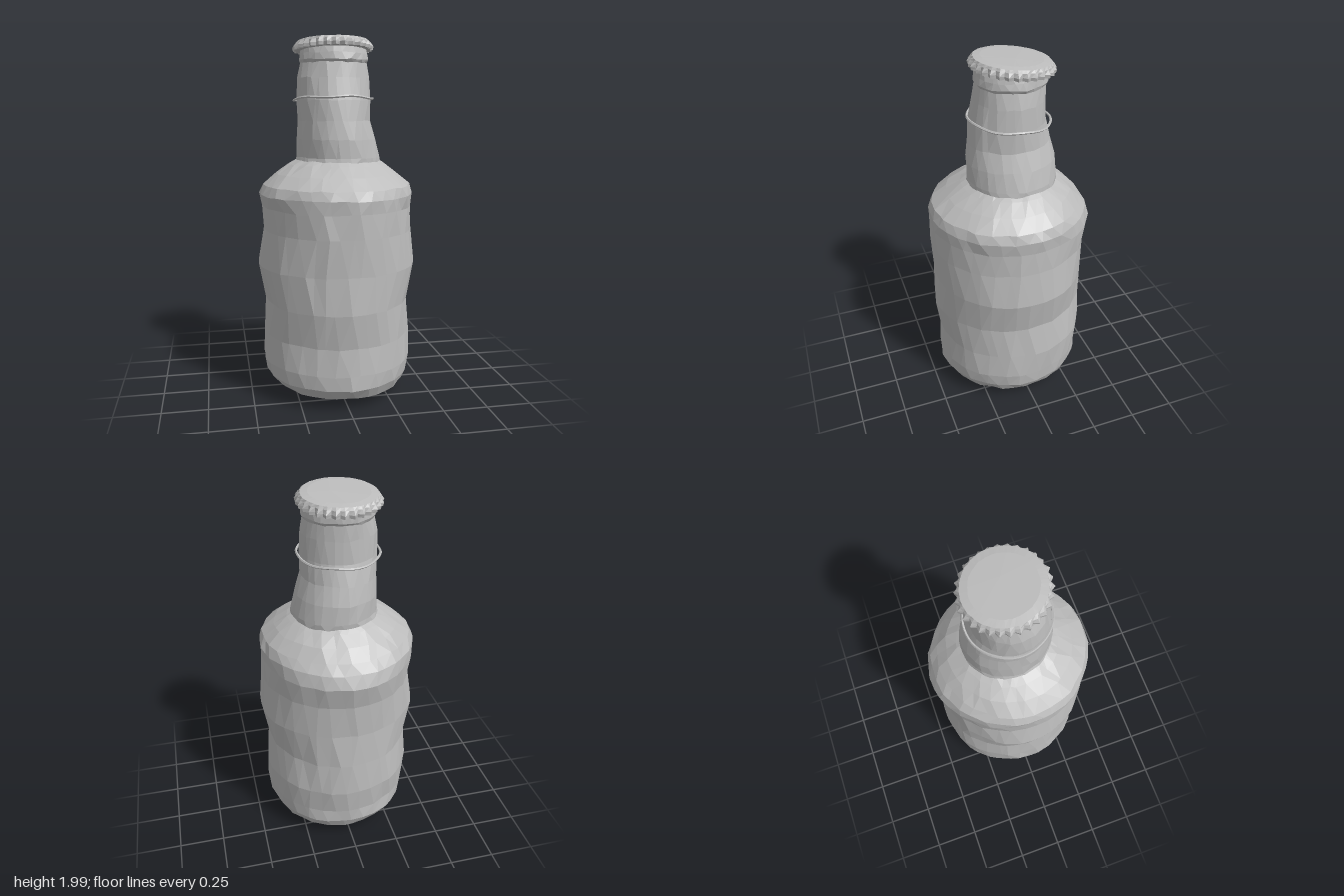
import * as THREE from 'three';

// Small seeded noise for the hand-made, uneven surface
function makeNoise(seed) {
  let s = seed;
  return () => {
    s = (s * 16807) % 2147483647;
    return (s / 2147483647) * 2 - 1;
  };
}

// Skin closed rings of points together, bottom to top, with flat facets.
// Rings collapse to a point at their centre where capBottom / capTop is set.
function skin(rings, capBottom, capTop) {
  const pos = [];
  const tri = (a, b, c) => pos.push(...a.toArray(), ...b.toArray(), ...c.toArray());
  const n = rings[0].length;
  for (let r = 0; r < rings.length - 1; r++) {
    for (let i = 0; i < n; i++) {
      const j = (i + 1) % n;
      const a = rings[r][i], b = rings[r][j], c = rings[r + 1][j], d = rings[r + 1][i];
      tri(a, d, c);
      tri(a, c, b);
    }
  }
  const last = rings[rings.length - 1];
  for (let i = 0; i < n; i++) {
    const j = (i + 1) % n;
    if (capBottom) tri(capBottom, rings[0][i], rings[0][j]);
    if (capTop) tri(capTop, last[j], last[i]);
  }
  const g = new THREE.BufferGeometry();
  g.setAttribute('position', new THREE.Float32BufferAttribute(pos, 3));
  g.computeVertexNormals();
  return g;
}

// Uneven rings from sections [y, xMin, xMax, zMin, zMax], slightly twisted as they rise
function unevenRings(sections, sides, twist, rough, seed) {
  const noise = makeNoise(seed);
  return sections.map(([y, x0, x1, z0, z1], k) => {
    const ring = [];
    for (let i = 0; i < sides; i++) {
      const a = ((i + 0.3 * noise()) / sides) * Math.PI * 2 - k * twist;
      const f = 1 + rough * noise();
      ring.push(new THREE.Vector3(
        (x0 + x1) / 2 + Math.sin(a) * f * (x1 - x0) / 2,
        y + rough * 0.25 * noise(),
        (z0 + z1) / 2 + Math.cos(a) * f * (z1 - z0) / 2
      ));
    }
    return ring;
  });
}

export function createModel() {
  const group = new THREE.Group();
  const grey = new THREE.MeshStandardMaterial({ color: 0xbcbcbc });
  grey.name = 'bottle grey';
  grey.side = THREE.DoubleSide;
  const add = (name, geometry) => {
    const mesh = new THREE.Mesh(geometry, grey);
    mesh.name = name;
    group.add(mesh);
  };

  // Body: shallow pointed base, wavy wall, rounded shoulder
  const body = [
    [0.04, -0.29, 0.33, -0.31, 0.32],
    [0.07, -0.36, 0.38, -0.38, 0.40],
    [0.13, -0.41, 0.41, -0.41, 0.44],
    [0.21, -0.42, 0.42, -0.41, 0.44],
    [0.36, -0.42, 0.42, -0.43, 0.43],
    [0.55, -0.41, 0.40, -0.42, 0.455],
    [0.75, -0.445, 0.445, -0.41, 0.44],
    [0.95, -0.415, 0.42, -0.425, 0.45],
    [1.08, -0.42, 0.415, -0.45, 0.45],
    [1.15, -0.435, 0.425, -0.425, 0.45],
    [1.20, -0.41, 0.405, -0.385, 0.43],
    [1.26, -0.34, 0.34, -0.33, 0.35],
    [1.31, -0.27, 0.27, -0.27, 0.27],
    [1.34, -0.21, 0.22, -0.23, 0.22]
  ];
  add('body', skin(unevenRings(body, 36, 0.07, 0.014, 71), new THREE.Vector3(0, 0.005, 0)));

  // Neck: tapering, a little crooked, with a lip under the cap
  const neck = [
    [1.31, -0.235, 0.25, -0.25, 0.24],
    [1.35, -0.22, 0.245, -0.25, 0.235],
    [1.45, -0.22, 0.22, -0.245, 0.235],
    [1.55, -0.215, 0.19, -0.225, 0.225],
    [1.66, -0.22, 0.19, -0.195, 0.21],
    [1.78, -0.215, 0.185, -0.19, 0.185],
    [1.86, -0.195, 0.17, -0.19, 0.17],
    [1.875, -0.205, 0.18, -0.20, 0.18],
    [1.91, -0.20, 0.175, -0.20, 0.175],
    [1.95, -0.19, 0.165, -0.20, 0.165]
  ];
  add('neck', skin(unevenRings(neck, 30, 0.07, 0.015, 133)));

  // Thin cord around the neck, tilted and slightly wavy
  const cord = [];
  for (let i = 0; i < 28; i++) {
    const a = (i / 28) * Math.PI * 2;
    const z = Math.cos(a) * 0.218;
    cord.push(new THREE.Vector3(
      -0.015 + Math.sin(a) * 0.22,
      1.664 + z * 0.07 + 0.004 * Math.sin(a * 5),
      z - 0.003
    ));
  }
  const cordCurve = new THREE.CatmullRomCurve3(cord, true);
  add('neckCord', new THREE.TubeGeometry(cordCurve, 56, 0.007, 5, true).toNonIndexed());
  group.children[2].geometry.computeVertexNormals();

  // Crimped cap: a smooth disc on top, fluted skirt below, tilted to the back
  const teeth = 30, sides = teeth * 2;
  const noise = makeNoise(29);
  const capRing = (radius, y, flute) => {
    const ring = [];
    for (let i = 0; i < sides; i++) {
      const a = (i / sides) * Math.PI * 2;
      const r = radius + (i % 2 ? flute : -flute) + 0.002 * noise();
      const z = Math.cos(a) * r;
      ring.push(new THREE.Vector3(-0.014 + Math.sin(a) * r, y + z * 0.09, z - 0.02));
    }
    return ring;
  };
  const cap = [
    capRing(0.175, 1.925, 0),
    capRing(0.212, 1.928, 0.009),
    capRing(0.215, 1.945, 0.009),
    capRing(0.206, 1.965, 0.004),
    capRing(0.197, 1.978, 0),
    capRing(0.16, 1.984, 0)
  ];
  add('crimpedCap', skin(cap, null, new THREE.Vector3(0.03, 1.987, -0.02)));

  return group;
}
